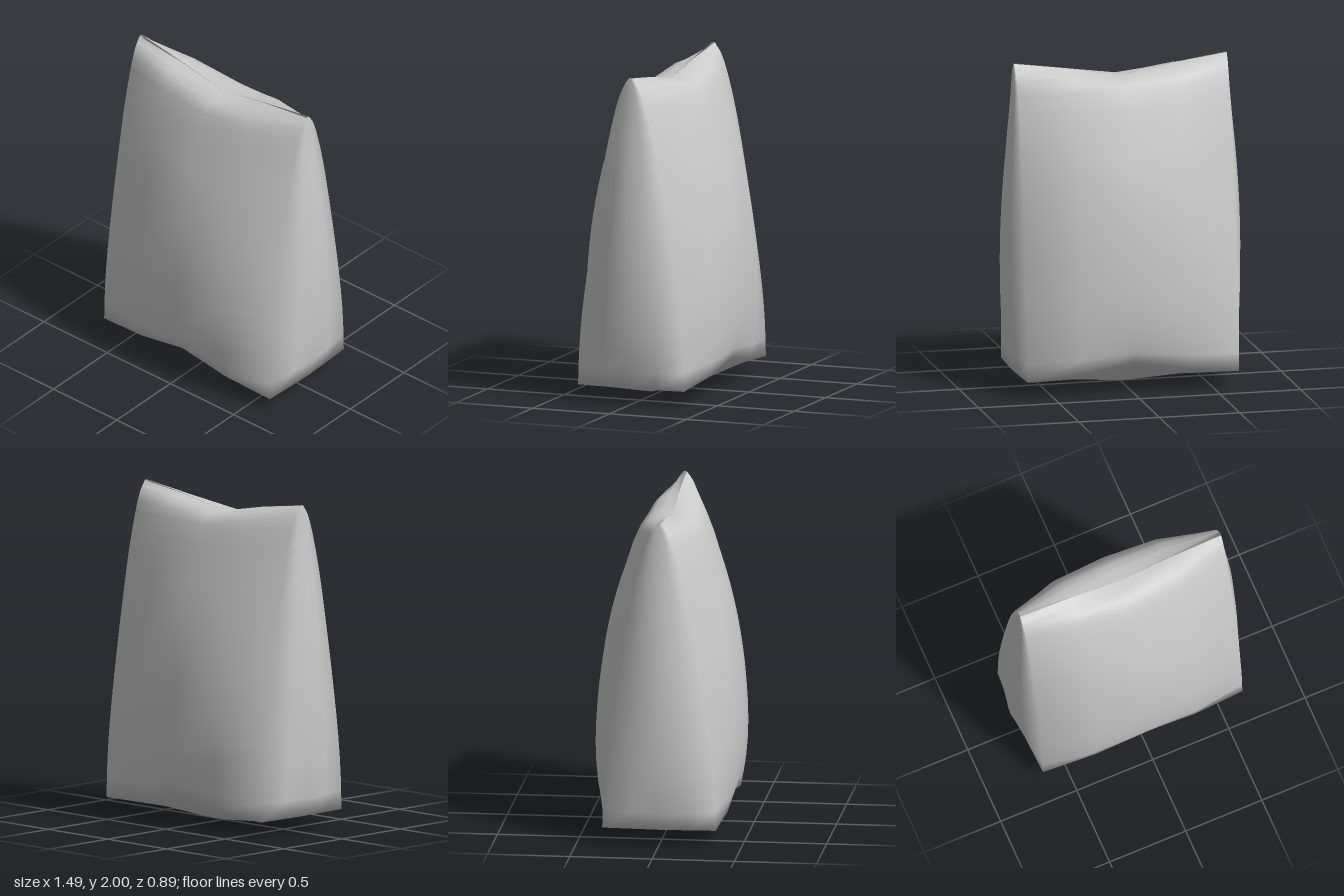
import * as THREE from 'three';

// Shared heights, and the outline of each vertical seam of one quarter of the pouch
const Y = [0.1, 0.32, 0.55, 0.8, 1.0, 1.2, 1.4, 1.6, 1.82, 1.94, 2.0];
const MID_Z = [0.385, 0.425, 0.446, 0.439, 0.42, 0.387, 0.339, 0.274, 0.19, 0.125, 0];
const CORNER_Z = [0.345, 0.338, 0.318, 0.285, 0.255, 0.222, 0.188, 0.15, 0.096, 0.052, 0.01];
const CORNER_X = [0.655, 0.655, 0.655, 0.655, 0.655, 0.655, 0.655, 0.655, 0.655, 0.658, 0.66];
const SIDE_X = [0.67, 0.718, 0.741, 0.747, 0.743, 0.733, 0.717, 0.697, 0.676, 0.667, 0.66];

// Lift the foot and lower the top of a seam
const heights = (foot, shoulder, neck, top) =>
  Y.map((y, k) => (k === 0 ? foot : k === 8 ? shoulder : k === 9 ? neck : k === 10 ? top : y));
const mix = (a, b, t) => a.map((v, k) => v + (b[k] - v) * t);
const seam = (xs, ys, zs) => new THREE.CatmullRomCurve3(ys.map((y, k) => new THREE.Vector3(xs[k], y, zs[k])));

const frontSeams = [
  seam(Y.map(() => 0), heights(0.2, 1.825, 1.88, 1.89), MID_Z),
  seam(Y.map(() => 0.33), heights(0.14, 1.83, 1.92, 1.953), mix(MID_Z, CORNER_Z, 0.17)),
  seam(CORNER_X, Y, CORNER_Z),
];
const sideSeams = [
  seam(SIDE_X, Y, Y.map(() => 0)),
  seam(mix(CORNER_X, SIDE_X, 0.6), Y, CORNER_Z.map((z) => z * 0.48)),
];

// Walk around the 4 x 4 square plan, starting at the front centre
const WALK = [0, 1, 2, 2, 2, 2, 2, 1, 0, -1, -2, -2, -2, -2, -2, -1];
const N = WALK.length;
const ROWS = 20;

export function createModel() {
  const positions = [];
  const index = [];
  const grid = new Map();

  // Walls: sweep all seams from foot to top
  for (let j = 0; j <= ROWS; j++) {
    for (let i = 0; i < N; i++) {
      const gx = WALK[i];
      const gz = WALK[(i + 4) % N];
      const curve = Math.abs(gz) === 2 ? frontSeams[Math.abs(gx)] : sideSeams[Math.abs(gz)];
      const p = curve.getPoint(j / ROWS);
      positions.push(Math.sign(gx) * p.x, p.y, Math.sign(gz) * Math.max(p.z, 0));
      if (j === 0) grid.set(gx + ',' + gz, i);
      if (j < ROWS) {
        const a = j * N + i;
        const b = j * N + ((i + 1) % N);
        index.push(a, b, b + N, a, b + N, a + N);
      }
    }
  }

  // Base: a sagging panel joined to the foot of the walls
  for (let gx = -1; gx <= 1; gx++) {
    for (let gz = -1; gz <= 1; gz++) {
      grid.set(gx + ',' + gz, positions.length / 3);
      const y = 0.005 + 0.02 * Math.abs(gx) + 0.04 * Math.abs(gz);
      positions.push(gx * 0.33, gx || gz ? y : 0, gz * 0.18);
    }
  }
  for (let gx = -2; gx < 2; gx++) {
    for (let gz = -2; gz < 2; gz++) {
      const at = (dx, dz) => grid.get((gx + dx) + ',' + (gz + dz));
      const [a, b, c, d] = [at(0, 0), at(1, 0), at(1, 1), at(0, 1)];
      // Split each quad along the diagonal that points to the centre
      if (gx >= 0 === gz >= 0) index.push(a, b, c, a, c, d);
      else index.push(a, b, d, b, c, d);
    }
  }

  const geometry = new THREE.BufferGeometry();
  geometry.setAttribute('position', new THREE.Float32BufferAttribute(positions, 3));
  geometry.setIndex(index);
  geometry.computeVertexNormals();

  const pouch = new THREE.Mesh(
    geometry,
    new THREE.MeshStandardMaterial({ color: 0xcccccc, side: THREE.DoubleSide })
  );
  pouch.name = 'pouch';
  const group = new THREE.Group();
  group.name = 'standingPouch';
  group.add(pouch);
  return group;
}
